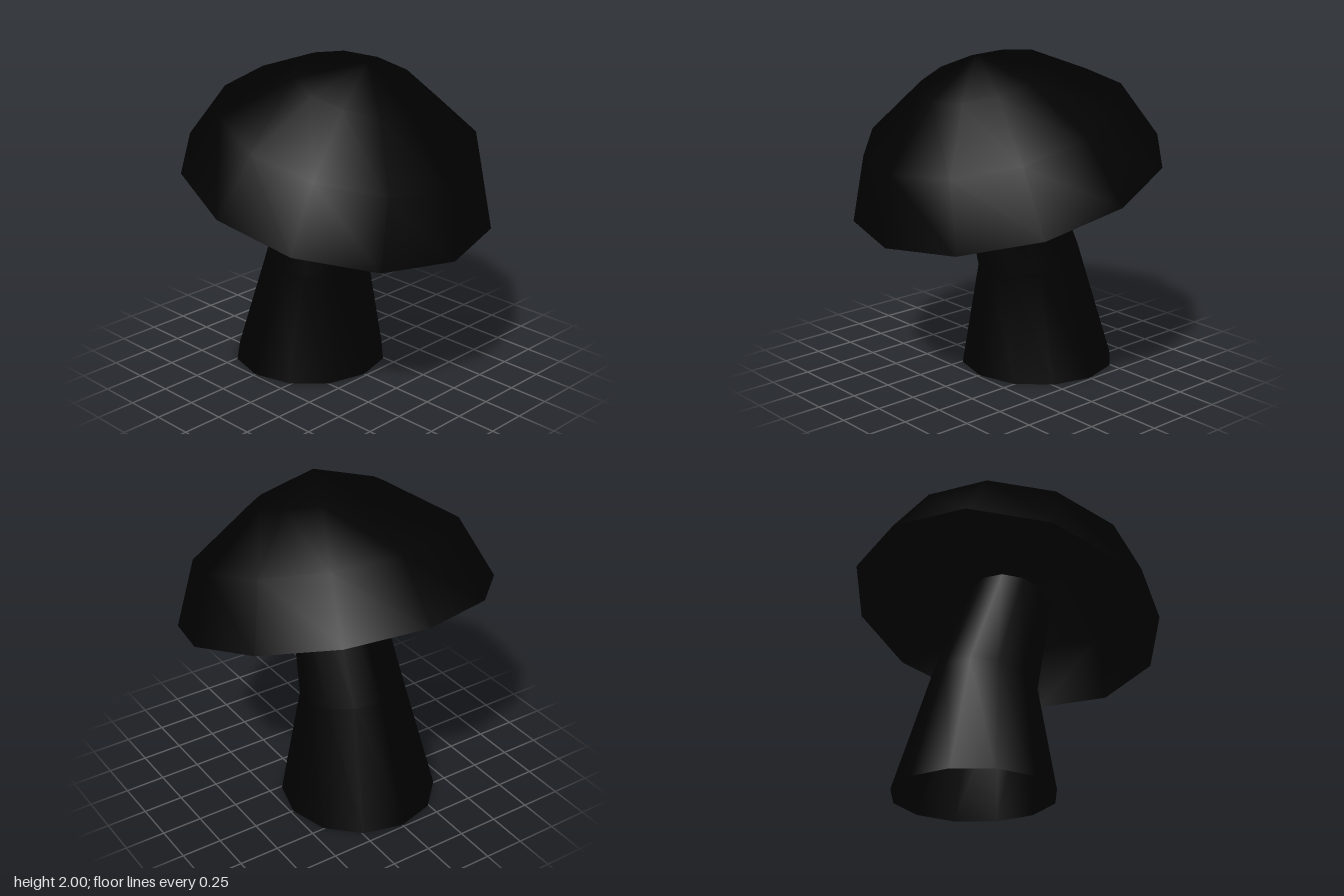
import * as THREE from 'three';

const SIDES = 12;

// Skin a stack of tilted rings [y, z, radius, tilt in degrees], listed upwards; tip is an optional closing point [y, z]
function loft(rings, tip) {
  const positions = [], index = [];
  for (const [y, z, r, tilt] of rings) {
    const t = THREE.MathUtils.degToRad(tilt);
    for (let j = 0; j < SIDES; j++) {
      const a = (j / SIDES) * Math.PI * 2;
      const f = r * Math.cos(a);
      positions.push(r * Math.sin(a), y - f * Math.sin(t), z + f * Math.cos(t));
    }
  }
  for (let i = 0; i < rings.length - 1; i++) {
    for (let j = 0; j < SIDES; j++) {
      const a = i * SIDES + j, b = i * SIDES + (j + 1) % SIDES;
      index.push(a, b, a + SIDES, b, b + SIDES, a + SIDES);
    }
  }
  if (tip) {
    const last = (rings.length - 1) * SIDES, top = rings.length * SIDES;
    positions.push(0, ...tip);
    for (let j = 0; j < SIDES; j++) index.push(last + j, last + (j + 1) % SIDES, top);
  }
  const geometry = new THREE.BufferGeometry();
  geometry.setAttribute('position', new THREE.Float32BufferAttribute(positions, 3));
  geometry.setIndex(index);
  geometry.computeVertexNormals();
  return geometry;
}

export function createModel() {
  // Both parts are open shells, seen from inside as well
  const black = new THREE.MeshStandardMaterial({ color: 0x000000, side: THREE.DoubleSide });
  black.name = 'black';

  const model = new THREE.Group();
  model.name = 'mushroom';
  const add = (name, rings, tip) => {
    const mesh = new THREE.Mesh(loft(rings, tip), black);
    mesh.name = name;
    model.add(mesh);
  };

  // Cap: tilted hollow dome, open underneath
  add('cap', [[1.228, 0, 0.965, 15.95], [1.6, 0.11, 0.8, 15.95], [1.873, 0.185, 0.4, 15.95]], [2, 0.243]);

  // Stem: bent tapering tube ending just inside the cap
  add('stem', [[0, -0.2525, 0.4825, 0], [0.705, -0.175, 0.32, 9.9], [1.35, 0.053, 0.255, 18]]);

  return model;
}
